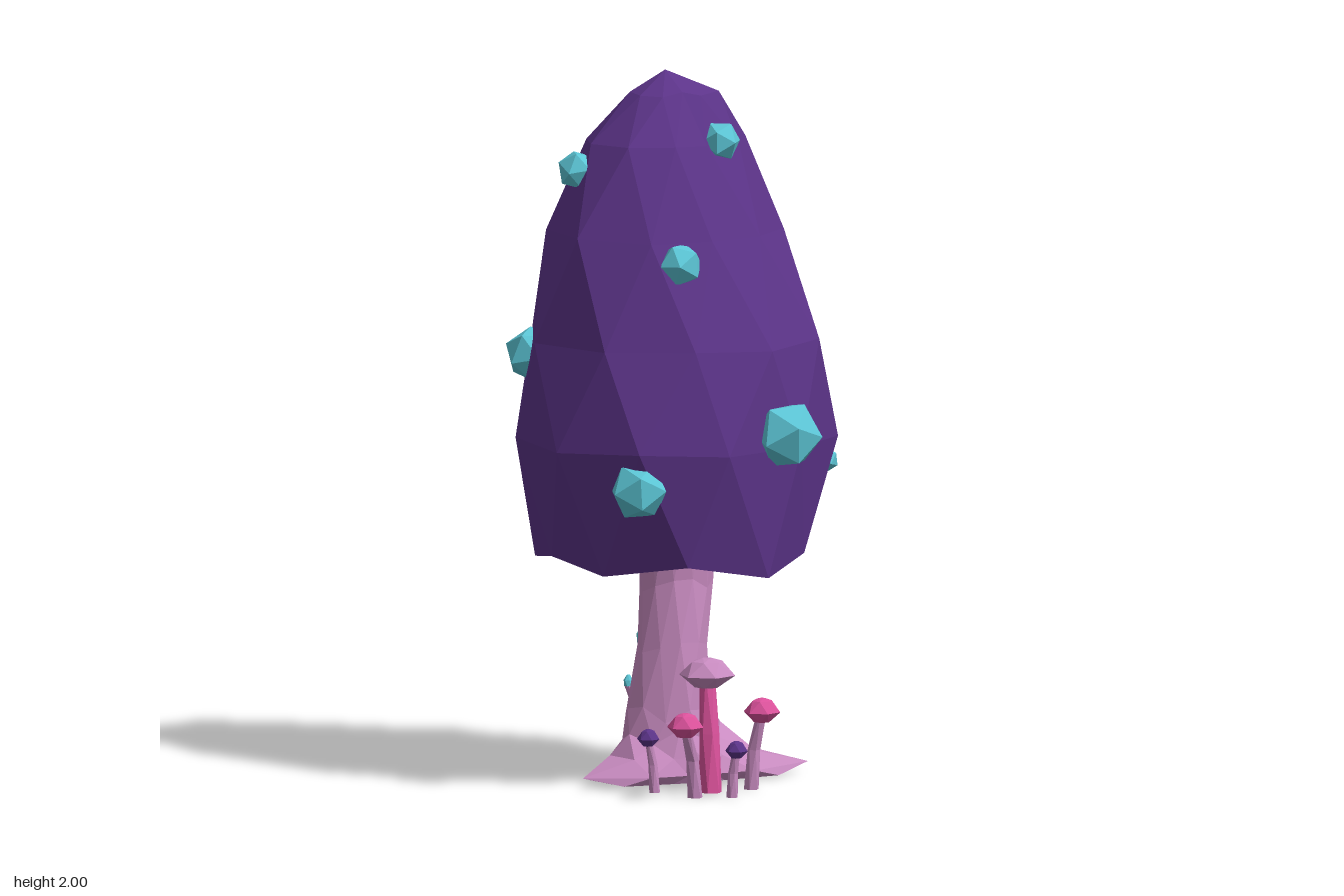
import * as THREE from 'three';

const paint = (name, color) => {
  const m = new THREE.MeshStandardMaterial({ color });
  m.name = name;
  return m;
};

// Seeded jitter in -1..1
let seed = 11;
const jitter = () => {
  seed = (seed * 16807) % 2147483647;
  return (seed / 2147483647) * 2 - 1;
};

// Ring of n points; odd rows are turned half a step so the facets interlock
function ring(n, row, cx, y, cz, rx, rz = rx, wobble = 0) {
  return Array.from({ length: n }, (_, i) => {
    const a = ((i + (row % 2) / 2) / n) * Math.PI * 2;
    const k = 1 + jitter() * wobble;
    return [cx + Math.cos(a) * rx * k, y + jitter() * wobble * 0.5, cz + Math.sin(a) * rz * k];
  });
}

// Pushes ring points out (or in) around given directions: [angle, length]
function pull(points, cx, cz, lobes, power) {
  points.forEach((p) => {
    const a = Math.atan2(p[2] - cz, p[0] - cx);
    const d = lobes.reduce((s, [dir, len]) => s + len * Math.max(0, Math.cos(a - dir)) ** power, 0);
    p[0] += Math.cos(a) * d;
    p[2] += Math.sin(a) * d;
  });
  return points;
}

// Faceted skin through rings listed from bottom to top
function loft(rings) {
  const pos = [];
  for (let r = 0; r < rings.length - 1; r++) {
    const lo = rings[r], up = rings[r + 1], n = lo.length;
    for (let i = 0; i < n; i++) {
      const j = (i + 1) % n;
      const [A, B, C, D] = [lo[i], lo[j], up[i], up[j]];
      const tris = r % 2 ? [A, C, D, A, D, B] : [A, C, B, B, C, D];
      tris.forEach((p) => pos.push(...p));
    }
  }
  const g = new THREE.BufferGeometry();
  g.setAttribute('position', new THREE.Float32BufferAttribute(pos, 3));
  g.computeVertexNormals();
  return g;
}

// Closed stalk through [x, y, z, radius] points
function stalk(points, n = 6) {
  const first = points[0], last = points[points.length - 1];
  const all = [[first[0], first[1], first[2], 0], ...points, [last[0], last[1], last[2], 0]];
  return loft(all.map(([x, y, z, r], row) => ring(n, row, x, y, z, r)));
}

export function createModel() {
  const group = new THREE.Group();
  const purple = paint('purple cap', 0x5c3489);
  const teal = paint('teal spots', 0x5cc6d6);
  const mauve = paint('mauve flesh', 0xc88bc0);
  const pink = paint('hot pink', 0xdc529c);
  const add = (name, geometry, material, parent = group) => {
    const mesh = new THREE.Mesh(geometry, material);
    mesh.name = name;
    parent.add(mesh);
    return mesh;
  };

  // Tall lopsided cap: [y, xMin, xMax, zMin, zMax, back-left, front-right and front-left bulge]
  const sections = [
    [0.635, -0.42, 0.385, -0.385, 0.335, -0.035, -0.045, 0],
    [0.97, -0.41, 0.39, -0.435, 0.4, 0.06, 0.03, 0],
    [1.25, -0.385, 0.41, -0.41, 0.35, 0, 0.035, -0.03],
    [1.55, -0.315, 0.305, -0.335, 0.275, 0, 0.05, -0.06],
    [1.8, -0.25, 0.21, -0.265, 0.2, -0.005, 0, -0.075],
    [1.94, -0.125, 0.095, -0.135, 0.08, 0.03, 0, -0.03],
    [2.0, -0.03, -0.03, -0.03, -0.03, 0, 0, 0],
  ];
  const capRings = sections.map(([y, x0, x1, z0, z1, bl, fr, fl], row) => {
    const cx = (x0 + x1) / 2, cz = (z0 + z1) / 2;
    const points = ring(10, row, cx, y, cz, (x1 - x0) / 1.96, (z1 - z0) / 1.96, row < 6 ? 0.016 : 0);
    return pull(points, cx, cz, [[-0.61, bl], [2.53, fr], [0.75, fl]], 3);
  });
  capRings[0].forEach((p, i) => { p[1] += i % 2 ? -0.02 : 0.016; });
  add('cap', loft(capRings), purple);

  // Hollow underside, from the ceiling centre out to the cap rim
  add('capUnderside', loft([
    ring(10, 0, -0.02, 0.76, -0.03, 0),
    ring(10, 1, -0.02, 0.725, -0.03, 0.28, 0.26, 0.04),
    capRings[0],
  ]), pink);

  // Trunk with two long roots; the last number is how far the ring follows the roots
  const trunk = [
    [0, 0.005, -0.05, 0, 0], [0, 0.005, -0.05, 0.14, 0.8], [0, 0.028, -0.05, 0.15, 1],
    [0, 0.075, -0.05, 0.14, 0.45], [-0.02, 0.13, -0.05, 0.128, 0.08], [-0.025, 0.19, -0.05, 0.12, 0],
    [-0.015, 0.38, -0.06, 0.102, 0], [-0.01, 0.55, -0.085, 0.1, 0], [-0.005, 0.77, -0.095, 0.11, 0],
  ].map(([x, y, z, r, reach], row) => pull(ring(11, row, x, y, z, r, r, row > 3 ? 0.05 : 0),
    x, z, [[-0.57, 0.24 * reach], [2.285, 0.18 * reach]], 7));
  add('trunk', loft(trunk), mauve);

  // Crystal-like spots on the cap: [x, y, z, radius]
  const spots = [
    [0.137, 1.81, 0.015, 0.058], [-0.25, 1.73, 0.11, 0.058], [0.07, 1.49, 0.24, 0.065],
    [-0.39, 1.2, 0.06, 0.08], [0.36, 1.01, 0.17, 0.1], [-0.02, 0.87, 0.37, 0.085],
    [0.38, 0.88, -0.26, 0.036], [0.11, 1.21, -0.375, 0.085], [-0.14, 1.74, -0.235, 0.066],
    [-0.285, 0.86, -0.335, 0.036],
  ];
  spots.forEach(([x, y, z, r], i) => {
    const spot = add('capSpot', new THREE.IcosahedronGeometry(r), teal);
    spot.position.set(x, y, z);
    spot.rotation.set(i * 0.7, i * 1.3, i * 0.4);
  });

  // Small mushrooms: cap centre, cap radius, cap height, foot, stem radius, colours
  const sprouts = [
    [[0.13, 0.33, 0.16], 0.08, 0.085, [0.145, 0.19], 0.028, mauve, pink],
    [[0.11, 0.21, 0.36], 0.052, 0.07, [0.125, 0.3], 0.018, pink, mauve],
    [[0.28, 0.225, 0.13], 0.052, 0.07, [0.245, 0.11], 0.018, pink, mauve],
    [[-0.02, 0.155, 0.245], 0.032, 0.05, [-0.005, 0.23], 0.013, purple, mauve],
    [[0.24, 0.135, 0.285], 0.032, 0.05, [0.225, 0.275], 0.014, purple, mauve],
  ];
  sprouts.forEach(([[x, y, z], r, h, [fx, fz], sr, capMat, stemMat]) => {
    const sprout = new THREE.Group();
    sprout.name = 'smallMushroom';
    add('smallStem', stalk([
      [fx, 0, fz, sr * 1.2],
      [fx + (x - fx) * 0.25, y * 0.5, fz + (z - fz) * 0.25, sr],
      [x, y, z, sr * 0.8],
    ]), stemMat, sprout);
    add('smallCap', stalk([
      [x, y - h * 0.45, z, r * 0.45],
      [x, y - h * 0.05, z, r],
      [x, y + h * 0.4, z, r * 0.55],
      [x, y + h * 0.5, z, r * 0.2],
    ]), capMat, sprout);
    group.add(sprout);
  });

  // Bent shoots with glowing tips at the back
  const shoots = [
    [[-0.13, 0, -0.31, 0.024], [-0.135, 0.1, -0.315, 0.019], [-0.14, 0.24, -0.305, 0.018], [-0.16, 0.335, -0.345, 0.015]],
    [[-0.13, 0, -0.225, 0.02], [-0.135, 0.1, -0.215, 0.014], [-0.15, 0.17, -0.21, 0.012], [-0.17, 0.235, -0.19, 0.01]],
    [[-0.07, 0, -0.29, 0.018], [-0.065, 0.06, -0.295, 0.013], [-0.05, 0.12, -0.295, 0.011], [-0.045, 0.165, -0.29, 0.01]],
  ];
  shoots.forEach((path) => {
    const [x, y, z, r] = path[3];
    add('shootStem', stalk(path), mauve);
    add('shootTip', stalk([
      [x, y, z, r * 1.15], [x, y + r * 1.6, z - r * 0.3, r * 1.3], [x, y + r * 3, z - r * 0.6, r * 0.5],
    ]), teal);
  });

  return group;
}
